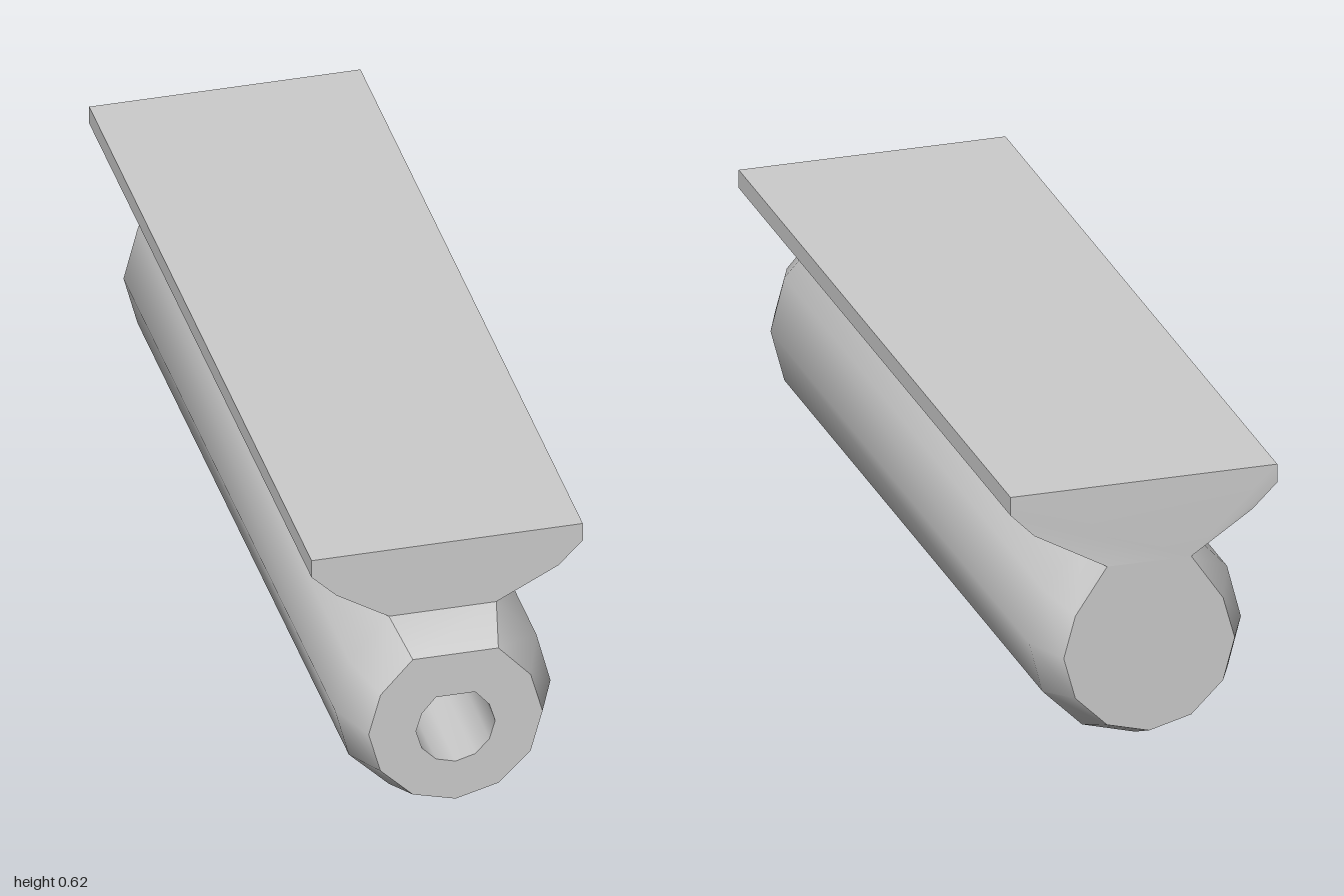
import * as THREE from 'three';
import { toCreasedNormals } from 'three/addons/utils/BufferGeometryUtils.js';

const AXIS = -0.011; // the tube sits slightly off centre

// Mirror the right half of an outline (listed bottom to top) about x = axis, counter-clockwise.
function mirrored(half, axis) {
  const left = half.filter(([x]) => Math.abs(x - axis) > 1e-4)
    .map(([x, y, ...z]) => [2 * axis - x, y, ...z]).reverse();
  return [...half, ...left];
}

// Place an outline at depth z; a point may carry its own z.
const at = (outline, z) => outline.map(([x, y, own]) => new THREE.Vector3(x, y, own ?? z));

// Skin a list of rings, with optional fan caps on the first and last ring.
function loft(rings, { first = false, last = false } = {}) {
  const pos = [];
  const tri = (...pts) => pts.forEach((p) => pos.push(p.x, p.y, p.z));
  const n = rings[0].length;
  for (let k = 0; k < rings.length - 1; k++) {
    for (let i = 0; i < n; i++) {
      const j = (i + 1) % n;
      const [a, b, c, d] = [rings[k][i], rings[k][j], rings[k + 1][j], rings[k + 1][i]];
      tri(a, b, c);
      tri(a, c, d);
    }
  }
  const end = rings[rings.length - 1];
  for (let i = 1; i < n - 1; i++) {
    if (first) tri(rings[0][0], rings[0][i + 1], rings[0][i]);
    if (last) tri(end[0], end[i], end[i + 1]);
  }
  const geo = new THREE.BufferGeometry();
  geo.setAttribute('position', new THREE.Float32BufferAttribute(pos, 3));
  return toCreasedNormals(geo, 0.66);
}

export function createModel() {
  const group = new THREE.Group();
  const material = new THREE.MeshStandardMaterial({ color: 0xcccccc });
  const add = (name, geometry) => {
    const mesh = new THREE.Mesh(geometry, material);
    mesh.name = name;
    group.add(mesh);
  };

  // Tube outlines: full size, and the smaller chamfered ends
  const full = mirrored([[AXIS, 0.002], [0.107, 0.034], [0.195, 0.121],
    [0.226, 0.238], [0.195, 0.358], [0.107, 0.454]], AXIS);
  const lower = [[AXIS, 0.045], [0.083, 0.07], [0.154, 0.14], [0.18, 0.235], [0.154, 0.33]];
  const frontEnd = mirrored([...lower, [0.083, 0.408]], AXIS);
  const rearEnd = mirrored([...lower, [0.083, 0.435]], AXIS);
  const bore = mirrored([[AXIS, 0.139], [0.032, 0.151], [0.063, 0.183],
    [0.076, 0.227], [0.063, 0.27], [0.032, 0.306]], AXIS);

  // Tube with chamfered ends and a closed rear
  add('tube', loft([at(rearEnd, -1), at(full, -0.9), at(full, 0.89), at(frontEnd, 1)], { first: true }));

  // Front face, pierced by the bore
  const face = new THREE.Shape(frontEnd.map(([x, y]) => new THREE.Vector2(x, y)));
  face.holes.push(new THREE.Path(bore.map(([x, y]) => new THREE.Vector2(x, y))));
  add('frontFace', new THREE.ShapeGeometry(face).translate(0, 0, 1));

  // Blind bore, skinned front to back so that it faces inward
  add('bore', loft([at(bore, 1), at(bore, 0.3)], { last: true }));

  // Mounting rail: flared section with a flat top, its neck tucking in at the rear
  const rail = [[-0.129, 0.454], [0.107, 0.454], [0.244, 0.524], [0.297, 0.578],
    [0.297, 0.62], [-0.299, 0.62], [-0.299, 0.578], [-0.244, 0.524]];
  const railRear = rail.map(([x, y]) => [x, y, -0.994]);
  railRear[0] = [-0.105, 0.435, -1];
  railRear[1] = [0.083, 0.435, -1];
  add('mountingRail', loft([at(railRear), at(rail, -0.9), at(rail, 0.89)], { first: true, last: true }));

  return group;
}
